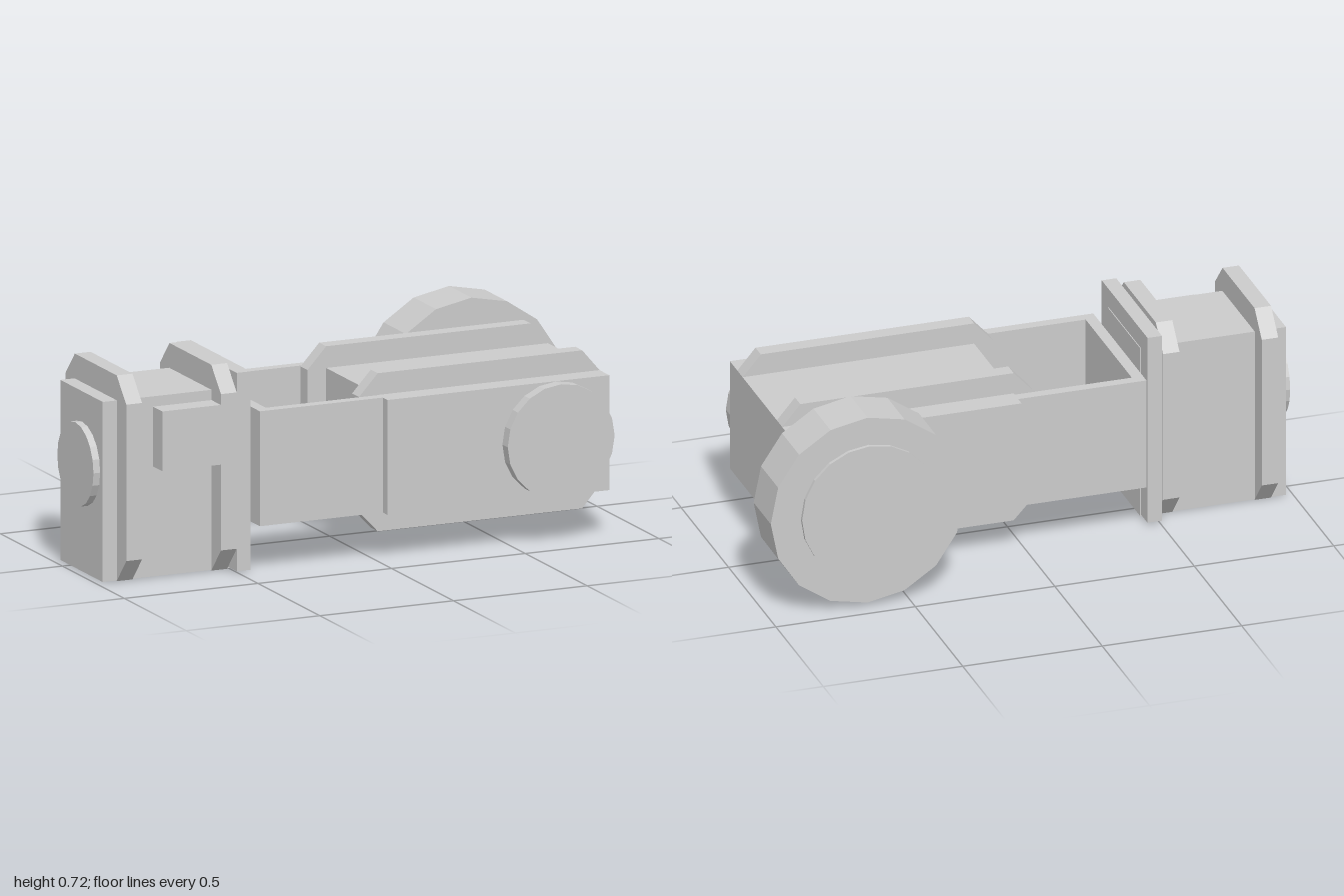
import * as THREE from 'three';

const material = new THREE.MeshStandardMaterial({ color: 0xcccccc, flatShading: true });

function add(parent, name, geometry) {
  const mesh = new THREE.Mesh(geometry, material);
  mesh.name = name;
  parent.add(mesh);
  return mesh;
}

// Box given by its extents on each axis
function box(parent, name, [x0, x1], [y0, y1], [z0, z1]) {
  const mesh = add(parent, name, new THREE.BoxGeometry(x1 - x0, y1 - y0, z1 - z0));
  mesh.position.set((x0 + x1) / 2, (y0 + y1) / 2, (z0 + z1) / 2);
}

// Disc on the z axis between two depths, with a corner at +x
function disc(parent, name, x, y, radius, z0, z1, sides) {
  const geometry = new THREE.CylinderGeometry(radius, radius, z1 - z0, sides);
  geometry.rotateY(Math.PI / 2).rotateX(Math.PI / 2);
  add(parent, name, geometry).position.set(x, y, (z0 + z1) / 2);
}

function extrude(points, depth) {
  const shape = new THREE.Shape(points.map(([a, b]) => new THREE.Vector2(a, b)));
  return new THREE.ExtrudeGeometry(shape, { depth, bevelEnabled: false });
}

export function createModel() {
  const model = new THREE.Group();
  model.name = 'armAssembly';

  // Main arm housing
  const arm = new THREE.Group();
  arm.name = 'arm';
  model.add(arm);
  box(arm, 'armHousing', [0.025, 0.855], [0.165, 0.567], [-0.223, 0.413]);
  box(arm, 'lowerBlock', [0.08, 0.31], [0.09, 0.17], [0.036, 0.334]);

  // Rails with chamfered ends, showing above and below the housing
  const railProfile = [
    [-0.045, 0.165], [0.025, 0.09], [0.79, 0.09], [0.855, 0.165],
    [0.855, 0.567], [0.79, 0.643], [0.025, 0.643], [-0.045, 0.567],
  ];
  for (const z of [-0.139, 0.278]) {
    add(arm, 'rail', extrude(railProfile, 0.056)).position.z = z;
  }

  // Open U-shaped bracket
  for (const [z0, z1] of [[-0.187, -0.15], [0.337, 0.375]]) {
    box(arm, 'bracketSide', [-0.435, 0.03], [0.165, 0.567], [z0, z1]);
  }
  box(arm, 'bracketEnd', [-0.435, -0.395], [0.165, 0.567], [-0.15, 0.337]);

  // Pivot and wheel
  const wheel = new THREE.Group();
  wheel.name = 'wheelAssembly';
  model.add(wheel);
  disc(wheel, 'pivotCap', 0.655, 0.366, 0.2, 0.41, 0.456, 20);
  disc(wheel, 'wheelHub', 0.655, 0.366, 0.2, -0.265, -0.22, 20);
  disc(wheel, 'wheel', 0.652, 0.36, 0.347, -0.443, -0.262, 16);
  disc(wheel, 'wheelCap', 0.648, 0.362, 0.243, -0.456, -0.44, 20);

  // End unit: body, flanges, mounting plate
  const unit = new THREE.Group();
  unit.name = 'endUnit';
  model.add(unit);
  box(unit, 'unitBody', [-0.975, -0.452], [0.003, 0.633], [-0.07, 0.272]);
  box(unit, 'sideCover', [-0.787, -0.56], [0.388, 0.597], [0.26, 0.347]);

  // Chamfered flanges; the profile lies in the z-y plane
  const flangeProfile = [
    [-0.068, 0], [0.27, 0], [0.348, 0.088], [0.348, 0.635],
    [0.27, 0.72], [-0.068, 0.72], [-0.144, 0.635], [-0.144, 0.088],
  ].map(([z, y]) => [-z, y]);
  for (const x of [-0.922, -0.568]) {
    add(unit, 'flange', extrude(flangeProfile, 0.059).rotateY(Math.PI / 2)).position.x = x;
  }
  box(unit, 'mountingPlate', [-0.525, -0.505], [0.085, 0.635], [-0.139, 0.344]);
  box(unit, 'mountingPlate', [-0.507, -0.455], [0.008, 0.702], [-0.139, 0.344]);

  // Round boss on the outer end
  const boss = new THREE.CylinderGeometry(0.146, 0.146, 0.026, 20).rotateZ(Math.PI / 2);
  add(unit, 'endBoss', boss).position.set(-0.987, 0.381, 0.105);

  return model;
}
